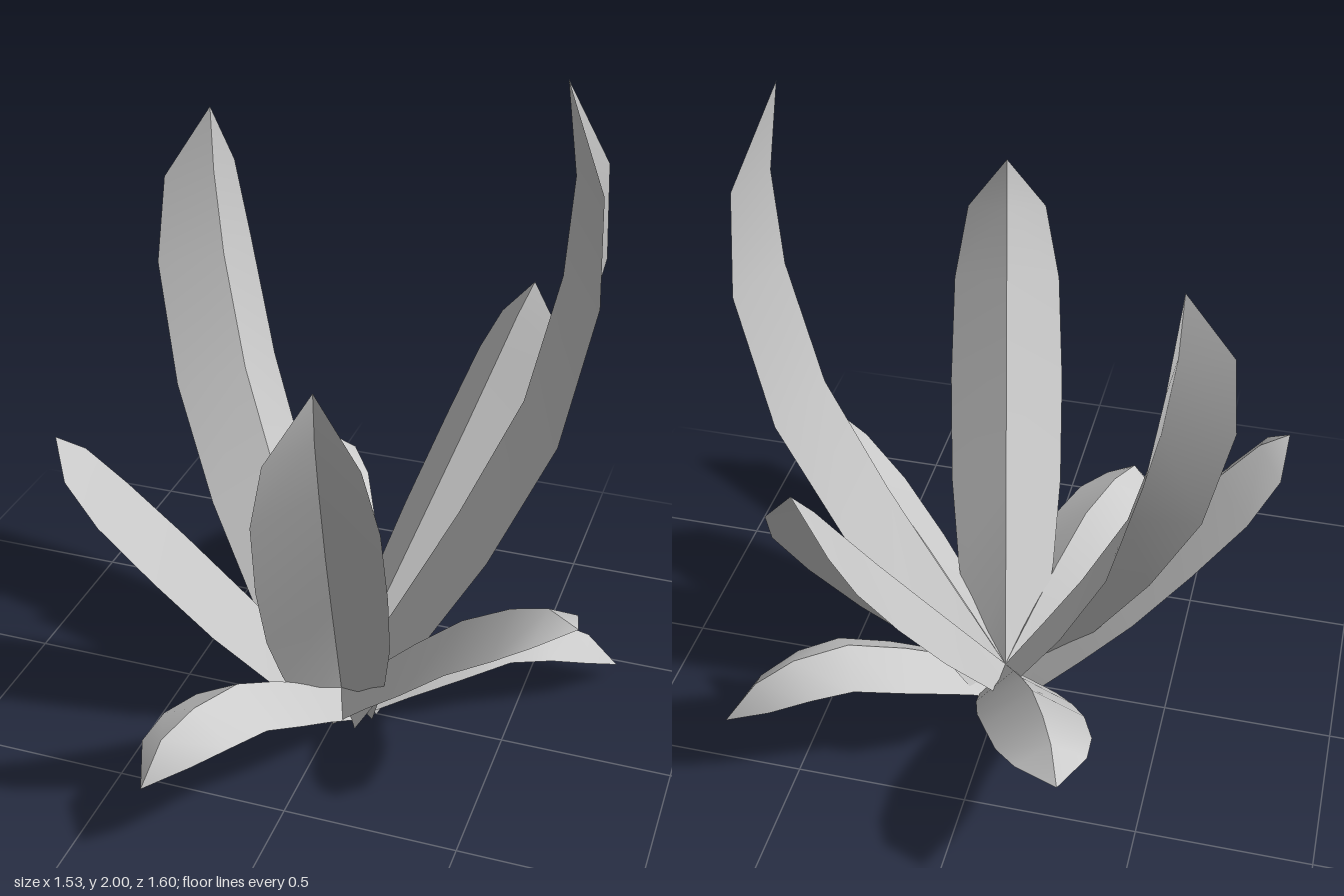
import * as THREE from 'three';

// Rows along every leaf: place on its ridge curve and full-size half-width
const ROW_T = [0, 0.13, 0.217, 1 / 3, 0.5, 2 / 3, 1];
const HALF_WIDTHS = [0.1, 0.15, 0.172, 0.175, 0.163, 0.12, 0];
// How far the leaf edges fold down from the ridge, relative to the half-width
const FOLD = 0.65;

// The ridge rises from the base through a middle and a shoulder point [radius, height] to the tip [x, y, z]
function leafGeometry(middle, shoulder, tip, width) {
  const [x, y, z] = tip;
  const reach = Math.hypot(x, z);
  const out = new THREE.Vector3(x / reach, 0, z / reach);
  const across = new THREE.Vector3(-out.z, 0, out.x);
  const ridge = new THREE.SplineCurve([
    new THREE.Vector2(0, 0.07),
    new THREE.Vector2(...middle),
    new THREE.Vector2(...shoulder),
    new THREE.Vector2(reach, y),
  ]);

  const points = [];
  const indices = [];
  const lastRow = ROW_T.length - 1;
  // Two folded strips meet at a creased ridge
  for (const side of [1, -1]) {
    const start = points.length;
    ROW_T.forEach((t, i) => {
      const p = ridge.getPoint(t);
      const along = ridge.getTangent(t);
      const w = HALF_WIDTHS[i] * width;
      const ridgePoint = out.clone().multiplyScalar(p.x).setY(p.y);
      const edge = out.clone().multiplyScalar(p.x + along.y * w * FOLD).addScaledVector(across, w * side);
      // The lowest edge corners rest on the ground
      edge.y = i === 0 ? 0 : p.y - along.x * w * FOLD;
      points.push(ridgePoint, edge);
      if (i === lastRow) return;
      const a = start + i * 2, b = a + 1, c = a + 2, d = a + 3;
      indices.push(...(side > 0 ? [a, b, c] : [a, c, b]));
      // The tip closes in a single triangle
      if (i < lastRow - 1) indices.push(...(side > 0 ? [b, d, c] : [b, c, d]));
    });
  }
  const geometry = new THREE.BufferGeometry().setFromPoints(points);
  geometry.setIndex(indices);
  geometry.computeVertexNormals();
  return geometry;
}

export function createModel() {
  const plant = new THREE.Group();
  plant.name = 'plant';
  const material = new THREE.MeshStandardMaterial({ color: 0xcccccc, side: THREE.DoubleSide });

  function addLeaf(name, middle, shoulder, tip, width) {
    const leaf = new THREE.Mesh(leafGeometry(middle, shoulder, tip, width), material);
    leaf.name = name;
    plant.add(leaf);
  }

  // Upright leaves
  addLeaf('tallLeftLeaf', [0.5, 1.1], [0.6, 1.75], [0.56, 2, -0.08], 1);
  addLeaf('tallRightLeaf', [0.49, 0.95], [0.63, 1.53], [-0.52, 1.72, -0.37], 1);
  addLeaf('tallFrontLeaf', [0.44, 0.82], [0.67, 1.29], [0.16, 1.44, 0.68], 0.98);
  addLeaf('backLeftLeaf', [0.5, 0.79], [0.7, 1.09], [0.38, 1.18, -0.67], 1);

  // Spreading leaves
  addLeaf('rightLeaf', [0.45, 0.6], [0.72, 0.885], [-0.77, 0.92, 0.23], 0.88);
  addLeaf('frontLeftLeaf', [0.45, 0.53], [0.735, 0.705], [0.76, 0.685, 0.34], 0.85);
  addLeaf('backLeaf', [0.48, 0.43], [0.775, 0.525], [-0.33, 0.46, -0.8], 0.8);

  // Drooping leaves
  addLeaf('droopingFrontLeaf', [0.46, 0.355], [0.765, 0.35], [-0.29, 0.24, 0.8], 0.75);
  addLeaf('droopingLeftLeaf', [0.48, 0.265], [0.765, 0.175], [0.76, 0.05, -0.41], 0.68);

  return plant;
}
